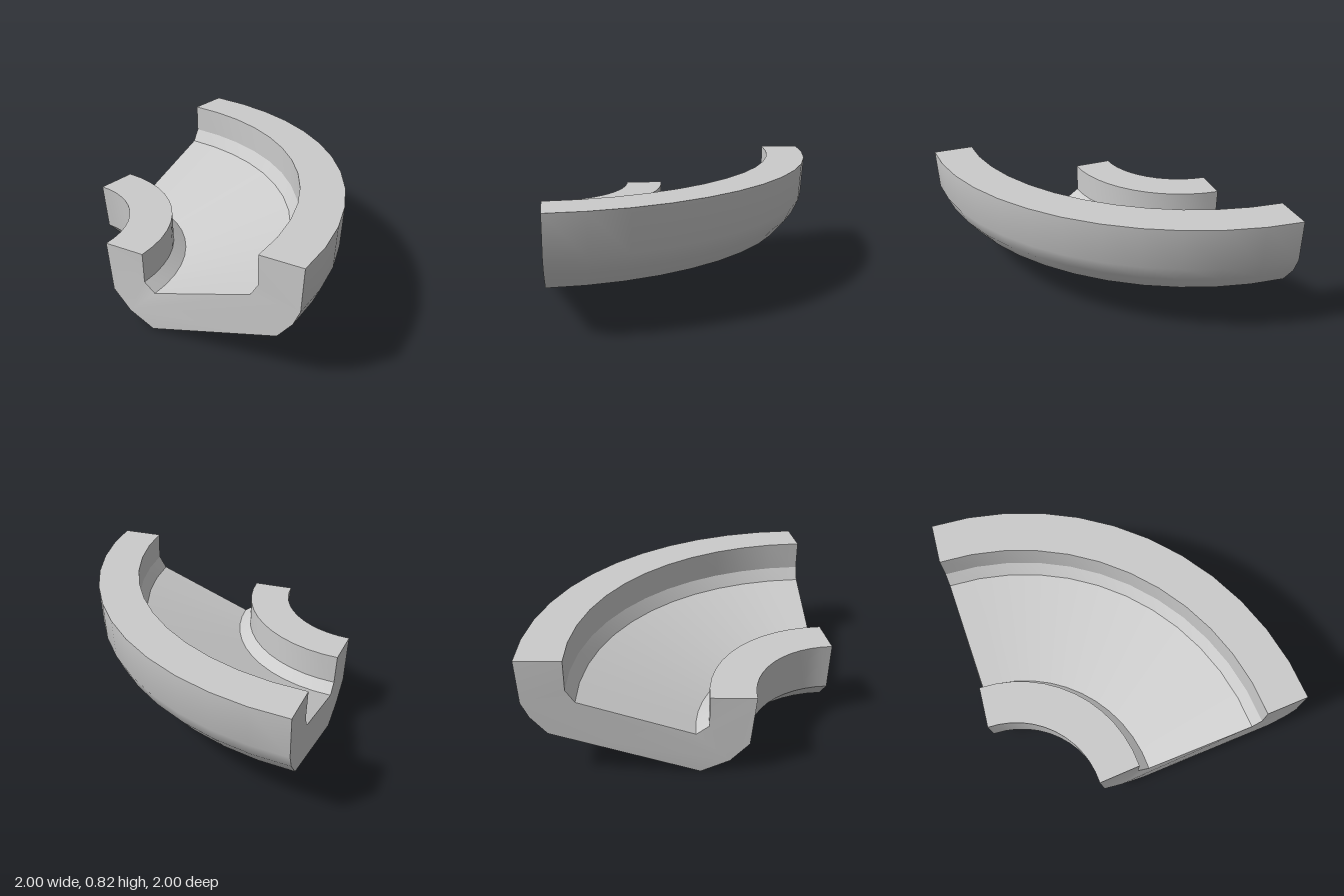
import * as THREE from 'three';
import { toCreasedNormals } from 'three/addons/utils/BufferGeometryUtils.js';

// Channel cross-section, counter-clockwise: [x, y, z] at the front end face.
const PROFILE = [
  [-0.41, 0.54, 0.997], [-0.38, 0.21, 0.997], [-0.26, 0.08, 0.988], [-0.08, 0, 0.98],
  [0.84, 0.32, 0.967], [0.94, 0.44, 0.964], [0.985, 0.54, 0.962], [1, 0.82, 0.956],
  [0.717, 0.82, 0.974], [0.717, 0.625, 0.974], [0.663, 0.54, 0.974],
  [-0.05, 0.28, 0.974], [-0.13, 0.337, 0.974], [-0.13, 0.54, 0.977],
];
const SEGMENTS = 12;

// Sweep every profile point through its own quarter circle, then close both ends.
function sweptChannel() {
  const n = PROFILE.length;
  const positions = [];
  const indices = [];
  for (let i = 0; i <= SEGMENTS; i++) {
    const angle = (i / SEGMENTS) * Math.PI / 2;
    for (const [x, y, z] of PROFILE) {
      const r = x + z;
      positions.push(-z + r * Math.cos(angle), y, z - r * Math.sin(angle));
    }
  }
  for (let i = 0; i < SEGMENTS; i++) {
    for (let j = 0; j < n; j++) {
      const k = (j + 1) % n;
      const a = i * n + j, b = i * n + k, c = a + n, d = b + n;
      indices.push(a, c, b, b, c, d);
    }
  }
  // End faces
  const outline = PROFILE.map(([x, y]) => new THREE.Vector2(x, y));
  const last = SEGMENTS * n;
  for (const [a, b, c] of THREE.ShapeUtils.triangulateShape(outline, [])) {
    indices.push(a, b, c, last + a, last + c, last + b);
  }
  const geometry = new THREE.BufferGeometry();
  geometry.setAttribute('position', new THREE.Float32BufferAttribute(positions, 3));
  geometry.setIndex(indices);
  return toCreasedNormals(geometry, 0.5);
}

export function createModel() {
  const group = new THREE.Group();
  group.name = 'curvedChannel';
  const channel = new THREE.Mesh(
    sweptChannel(),
    new THREE.MeshStandardMaterial({ color: 0xcccccc })
  );
  channel.name = 'bankedQuarterTurn';
  group.add(channel);
  return group;
}
